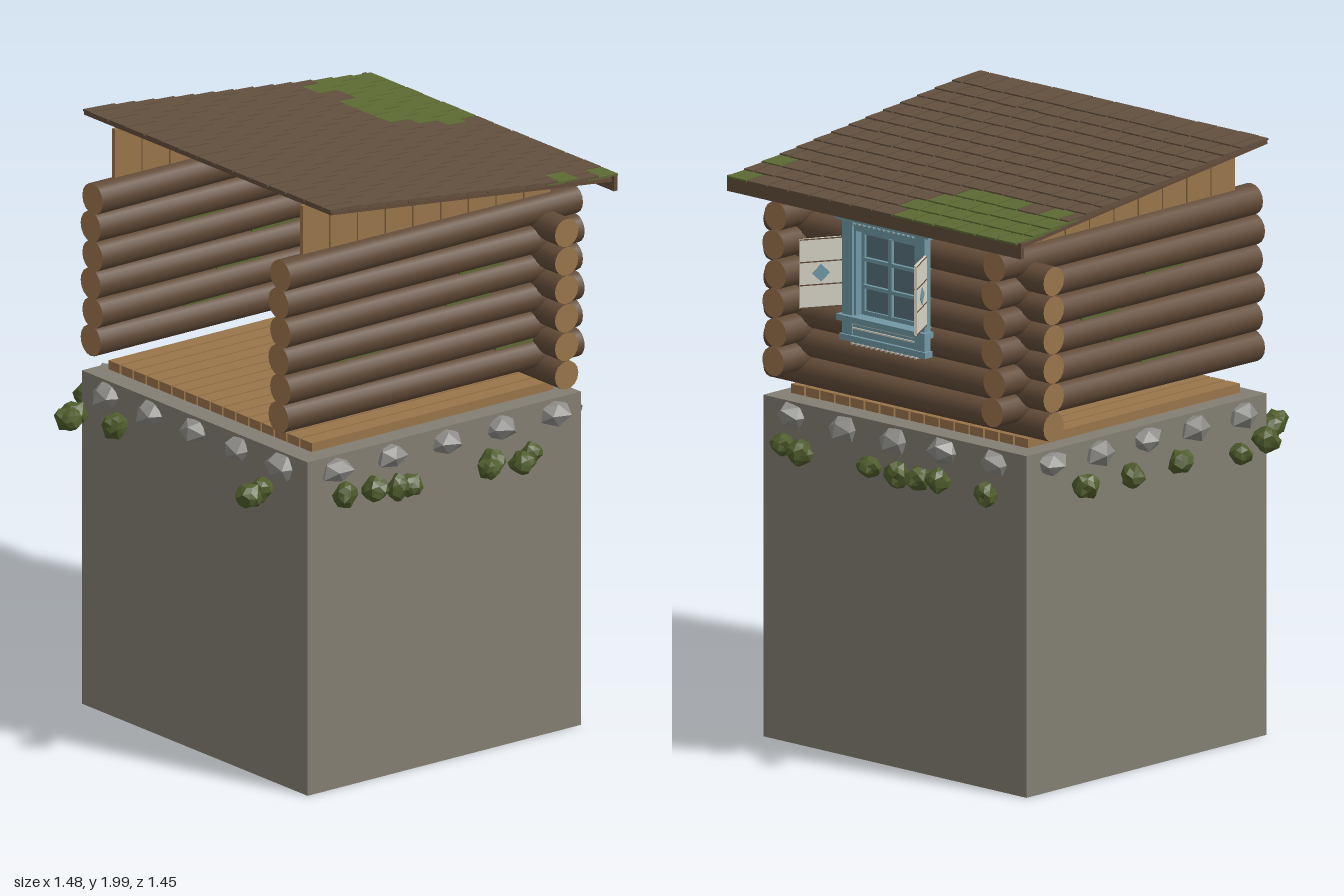
import * as THREE from 'three';

const mat = (name, color, side = THREE.FrontSide) => {
  const m = new THREE.MeshStandardMaterial({ color, side });
  m.name = name;
  return m;
};

export function createModel() {
  const M = {
    log: mat('bark brown', 0x624b38),
    wood: mat('cut wood', 0x99744a),
    shingle: mat('shingle brown', 0x624f3e),
    moss: mat('moss green', 0x5c6a33),
    earth: mat('plinth grey', 0x827e72),
    stone: mat('stone grey', 0x8d8c88),
    leaf: mat('bush green', 0x4f5c2c),
    blue: mat('window blue', 0x7199a6),
    cream: mat('cream paint', 0xd6d2c4),
    glass: mat('glass', 0x58707a),
  };
  const model = new THREE.Group();
  model.name = 'logCabin';
  let seed = 7;
  const rand = () => ((seed = (seed * 16807) % 2147483647) / 2147483647);
  const jit = (a) => (rand() - 0.5) * 2 * a;

  const group = (name, parent = model) => {
    const g = new THREE.Group();
    g.name = name;
    parent.add(g);
    return g;
  };
  const add = (parent, name, geo, material, x = 0, y = 0, z = 0) => {
    const m = new THREE.Mesh(geo, material);
    m.name = name;
    m.position.set(x, y, z);
    parent.add(m);
    return m;
  };
  // Box given by its extents
  const box = (parent, name, material, x0, x1, y0, y1, z0, z1) =>
    add(parent, name, new THREE.BoxGeometry(x1 - x0, y1 - y0, z1 - z0), material,
      (x0 + x1) / 2, (y0 + y1) / 2, (z0 + z1) / 2);

  // Plinth
  box(model, 'plinth', M.earth, -0.595, 0.565, 0, 1.13, -0.55, 0.57);

  // Floor planks running front to back
  const floor = group('floor');
  for (let i = 0; i < 16; i++) {
    const x = -0.54 + i * 0.0658;
    box(floor, 'floorPlank', M.wood, x, x + 0.058, 1.135, 1.165, -0.485, 0.505);
  }

  // Logs with pale cut ends
  const logMats = [M.log, M.wood, M.wood];
  const logAlongZ = (parent, x, y, yaw) => {
    const g = new THREE.CylinderGeometry(0.052, 0.048, 1.21, 16).rotateX(Math.PI / 2);
    add(parent, 'sideLog', g, logMats, x, y, 0.005).rotation.y = yaw;
  };
  const logAlongX = (parent, x0, x1, y) => {
    const g = new THREE.CylinderGeometry(0.048, 0.048, x1 - x0, 16).rotateZ(Math.PI / 2);
    add(parent, 'backLog', g, logMats, (x0 + x1) / 2, y, -0.46);
  };
  for (const [name, x] of [['leftWall', 0.47], ['rightWall', -0.495]]) {
    const wall = group(name);
    for (let i = 0; i < 6; i++) logAlongZ(wall, x, 1.265 + i * 0.0965, (i % 2 ? 1 : -1) * 0.008);
    // Moss tucked between the logs
    for (let i = 0; i < 4; i++) {
      const z = jit(0.35);
      box(wall, 'wallMoss', M.moss, x - 0.022, x + 0.022, 1.306 + i * 0.0965, 1.322 + i * 0.0965, z - 0.09, z + 0.09);
    }
    // Upright boards filling the slope under the roof
    for (let i = 0; i < 9; i++) {
      const z1 = 0.517 - i * 0.1135;
      box(wall, 'gableBoard', M.wood, x - 0.011, x + 0.004, 1.79, 1.963 - i * 0.0115, z1 - 0.108, z1);
    }
  }
  const backWall = group('backWall');
  for (let i = 0; i < 6; i++) {
    const y = 1.215 + i * 0.0965;
    if (i < 2) logAlongX(backWall, -0.63, 0.605, y);
    else {
      logAlongX(backWall, -0.63, -0.1, y);
      logAlongX(backWall, 0.2, 0.605, y);
    }
  }
  box(backWall, 'wallMoss', M.moss, -0.42, -0.04, 1.32, 1.342, -0.44, -0.414);
  box(backWall, 'wallMoss', M.moss, -0.1, 0.15, 1.255, 1.27, -0.45, -0.425);

  // Window, built around its own centre line
  const win = group('window');
  win.position.x = 0.05;
  const rectFrame = (w, y0, y1, t, depth) => {
    const s = new THREE.Shape([[-w, y0], [w, y0], [w, y1], [-w, y1]].map((p) => new THREE.Vector2(...p)));
    const a = w - t;
    s.holes.push(new THREE.Path([[-a, y0 + t], [-a, y1 - t], [a, y1 - t], [a, y0 + t]].map((p) => new THREE.Vector2(...p))));
    return new THREE.ExtrudeGeometry(s, { depth, bevelEnabled: false });
  };
  add(win, 'windowFrame', rectFrame(0.15, 1.435, 1.755, 0.02, 0.09), M.blue, 0, 0, -0.525);
  add(win, 'windowSash', rectFrame(0.13, 1.455, 1.735, 0.014, 0.03), M.blue, 0, 0, -0.5);
  box(win, 'pane', M.glass, -0.12, 0.12, 1.465, 1.725, -0.492, -0.484);
  box(win, 'uprightBar', M.blue, -0.007, 0.007, 1.465, 1.725, -0.505, -0.492);
  for (const y of [1.55, 1.64]) box(win, 'crossBar', M.blue, -0.12, 0.12, y - 0.006, y + 0.006, -0.505, -0.492);
  for (const s of [-1, 1]) box(win, 'casing', M.blue, s * 0.16 - 0.022, s * 0.16 + 0.022, 1.39, 1.77, -0.535, -0.508);
  // Apron with pale stripes, sill and drop trim
  box(win, 'apron', M.blue, -0.15, 0.15, 1.365, 1.436, -0.53, -0.43);
  for (const y of [1.412, 1.428, 1.442]) {
    box(win, 'apronStripe', M.cream, -0.15, 0.15, y, y + 0.005, -0.432, -0.426);
    box(win, 'apronStripe', M.cream, -0.15, 0.15, y, y + 0.005, -0.535, -0.529);
  }
  box(win, 'sill', M.blue, -0.195, 0.195, 1.435, 1.455, -0.55, -0.508);
  box(win, 'lowerRail', M.blue, -0.19, 0.19, 1.37, 1.39, -0.542, -0.508);
  // Cornice and arched pediment
  box(win, 'laceBand', M.cream, -0.15, 0.15, 1.748, 1.772, -0.525, -0.43);
  box(win, 'corniceBed', M.blue, -0.205, 0.205, 1.768, 1.79, -0.545, -0.51);
  box(win, 'corniceTop', M.blue, -0.215, 0.215, 1.79, 1.803, -0.555, -0.51);
  box(win, 'corniceCap', M.blue, -0.185, 0.185, 1.803, 1.822, -0.545, -0.512);
  const arch = new THREE.Shape();
  arch.moveTo(-0.13, 1.822);
  arch.bezierCurveTo(-0.06, 1.83, -0.05, 1.865, 0, 1.865);
  arch.bezierCurveTo(0.05, 1.865, 0.06, 1.83, 0.13, 1.822);
  const gap = new THREE.Path();
  gap.moveTo(-0.06, 1.828);
  gap.quadraticCurveTo(0, 1.872, 0.06, 1.828);
  arch.holes.push(gap);
  add(win, 'pediment', new THREE.ExtrudeGeometry(arch, { depth: 0.02, bevelEnabled: false }), M.blue, 0, 0, -0.54);
  // Rows of small round beads
  const bead = new THREE.CylinderGeometry(0.006, 0.006, 0.11, 8).rotateX(Math.PI / 2);
  for (let i = 0; i < 14; i++) {
    const x = -0.14 + (i * 0.28) / 13;
    add(win, 'upperBead', bead, M.blue, x, 1.757, -0.477);
    add(win, 'lowerBead', bead, M.cream, x, 1.364, -0.48);
  }
  // Open shutters with three panels and a diamond
  for (const s of [-1, 1]) {
    const shutter = group(s > 0 ? 'leftShutter' : 'rightShutter', win);
    shutter.position.set(s * 0.185, 0, -0.535);
    shutter.rotation.y = s > 0 ? Math.PI / 3 : Math.PI * 2 / 3;
    box(shutter, 'shutterBoard', M.cream, 0, 0.14, 1.48, 1.71, -0.005, 0.005);
    for (const y of [1.482, 1.557, 1.633, 1.708])
      box(shutter, 'shutterLine', M.log, 0, 0.14, y - 0.002, y + 0.002, -0.006, 0.006);
    const d = new THREE.BoxGeometry(0.042, 0.042, 0.014).rotateZ(Math.PI / 4);
    add(shutter, 'shutterDiamond', d, M.blue, 0.07, 1.595, 0);
  }

  // Roof deck sloping down to the back, with overlapping shingles
  const roof = group('roof');
  roof.position.set(-0.01, 1.912, -0.06);
  roof.rotation.x = -0.115;
  box(roof, 'roofDeck', M.log, -0.635, 0.635, -0.006, 0.006, -0.585, 0.585);
  const rows = 14, cols = 14, pitch = 1.28 / cols;
  for (let r = 0; r < rows; r++) {
    const shift = (r % 2) * pitch * 0.5;
    for (let c = 0; c <= cols; c++) {
      const x0 = Math.max(-0.64, -0.64 + c * pitch - shift);
      const x1 = Math.min(0.64, -0.64 + (c + 1) * pitch - shift);
      if (x1 - x0 < 0.012) continue;
      const x = (x0 + x1) / 2 - 0.01;
      const mossy = (r < 3 && x > -0.61 && x < -0.08) || (r === 1 && x < -0.6) ||
        (r === 3 && ((x > -0.61 && x < -0.47) || (x > -0.4 && x < -0.13))) ||
        ((r === 0 || r === 2) && x > 0.58);
      const g = new THREE.BoxGeometry(x1 - x0 - 0.007, 0.007, 0.13 + jit(0.004));
      add(roof, mossy ? 'mossyShingle' : 'shingle', g, mossy ? M.moss : M.shingle,
        x + 0.01, 0.0125, -0.532 + r * 0.0815 + jit(0.002)).rotation.x = 0.055;
    }
  }
  box(model, 'fascia', M.log, -0.66, 0.635, 1.81, 1.862, -0.645, -0.63);

  // Faceted lumps for stones and bushes
  const lump = (detail, amount) => {
    const g = new THREE.IcosahedronGeometry(1, detail);
    const p = g.attributes.position, k = rand() * 50, v = new THREE.Vector3();
    for (let i = 0; i < p.count; i++) {
      v.fromBufferAttribute(p, i);
      const n = Math.sin(Math.round(v.x * 100) * 1.27 + Math.round(v.y * 100) * 3.11 + Math.round(v.z * 100) * 7.43 + k);
      v.multiplyScalar(1 + amount * n);
      p.setXYZ(i, v.x, v.y, v.z);
    }
    g.computeVertexNormals();
    return g;
  };
  const place = (parent, name, material, detail, x, y, z, sx, sy, sz) => {
    const m = add(parent, name, lump(detail, 0.14), material, x, y, z);
    m.scale.set(sx, sy, sz);
    m.rotation.y = jit(0.4);
  };
  const stones = group('stones');
  for (let i = 0; i < 5; i++) {
    const t = -0.46 + i * 0.223;
    for (const z of [-0.55, 0.57]) place(stones, 'stone', M.stone, 0, t, 1.083, z, 0.06, 0.045, 0.055);
    for (const x of [-0.595, 0.565]) place(stones, 'stone', M.stone, 0, x, 1.083, t + 0.02, 0.055, 0.045, 0.06);
  }
  // Bushes as [x, z] around the rim
  const bushes = group('bushes');
  const spots = [
    [-0.66, -0.34], [-0.69, -0.155], [-0.69, 0.07], [-0.71, 0.33], [-0.68, 0.48], [-0.57, 0.62],
    [-0.53, 0.68], [-0.38, 0.61], [0.4, 0.63], [0.41, 0.685], [0.65, -0.28], [0.69, -0.21],
    [0.68, -0.08], [0.65, -0.12], [0.67, 0.23], [0.68, 0.29], [0.64, 0.35], [0.62, 0.46],
    [-0.49, -0.63], [-0.28, -0.63], [-0.21, -0.65], [-0.145, -0.68], [0.01, -0.645], [0.33, -0.63], [0.405, -0.63],
  ];
  for (const [x, z] of spots)
    place(bushes, 'bush', M.leaf, 1, x, 1.005 + jit(0.012), z, 0.04 + jit(0.006), 0.038 + jit(0.005), 0.042 + jit(0.006));

  return model;
}
